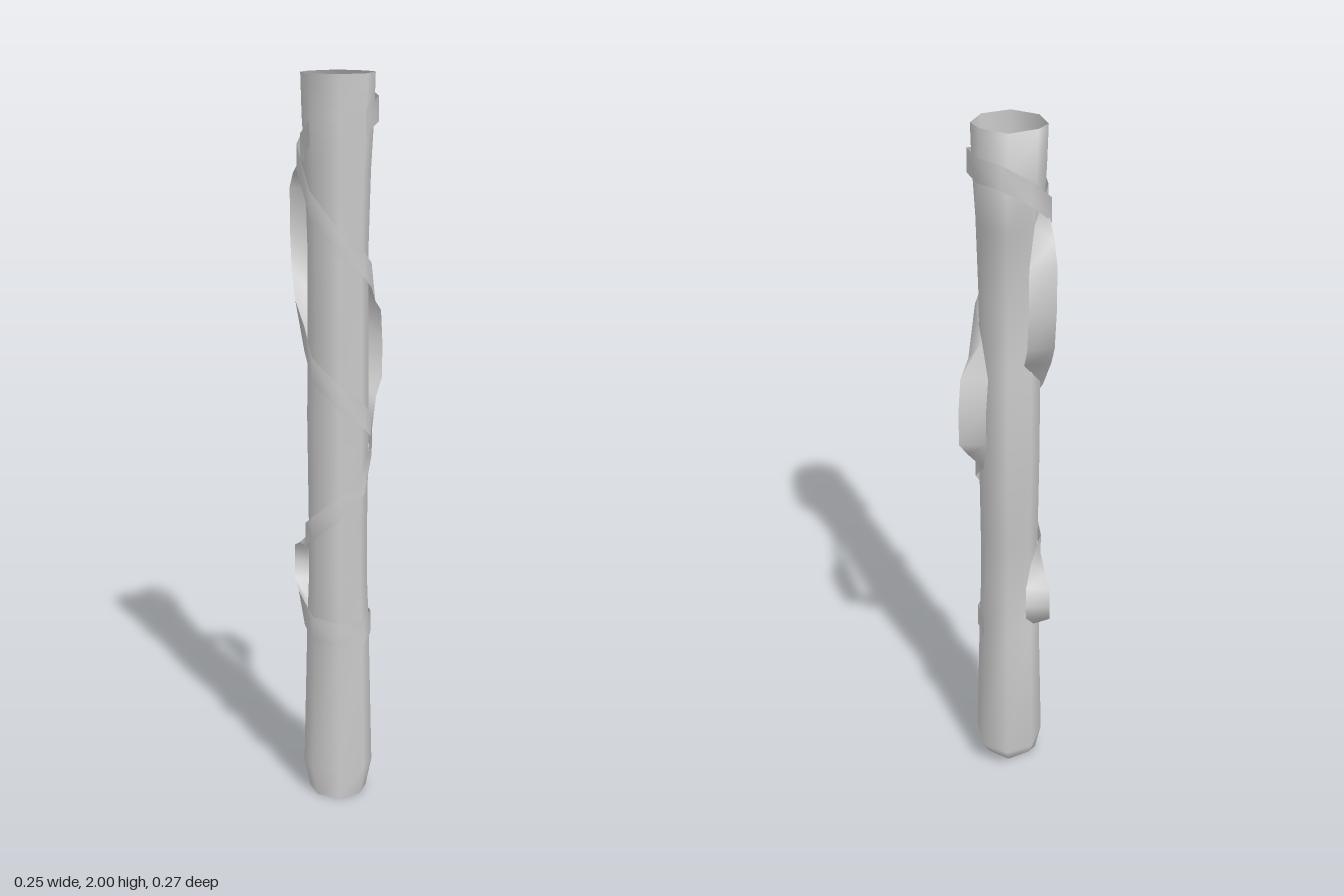
import * as THREE from 'three';

const material = new THREE.MeshStandardMaterial({ color: 0xcccccc, side: THREE.DoubleSide });

// Skin a list of equal-length rows of points into one surface.
function loft(rows, closed, name) {
  const n = rows[0].length;
  const index = [];
  for (let r = 0; r < rows.length - 1; r++) {
    for (let i = 0; i < (closed ? n : n - 1); i++) {
      const a = r * n + i, b = r * n + (i + 1) % n;
      index.push(a, b, b + n, a, b + n, a + n);
    }
  }
  const geometry = new THREE.BufferGeometry();
  geometry.setAttribute('position', new THREE.Float32BufferAttribute(rows.flat(2), 3));
  geometry.setIndex(index);
  geometry.computeVertexNormals();
  const mesh = new THREE.Mesh(geometry, material);
  mesh.name = name;
  return mesh;
}

// Eight-sided ring: fixed front edge, variable half width and back depth.
function ring([y, w, back]) {
  const half = [[w * 0.75, 0.1], [w, 0.04], [w * 0.76, back + 0.035]];
  return [
    [0, y, 0.13],
    ...half.map(([x, z]) => [x, y, z]),
    [0, y, back],
    ...half.reverse().map(([x, z]) => [-x, y, z]),
  ];
}

// Ribbon along a path of [x, y, z, dx, dy]; (dx, dy) points to one edge.
function ribbon(path, name) {
  const rows = path.map(([x, y, z, dx, dy]) => [
    [x + dx, y + dy, z],
    [x - dx, y - dy, z],
  ]);
  return loft(rows, false, name);
}

// Add the same edge direction to a run of points.
const run = (dx, dy, points) => points.map((p) => [...p, dx, dy]);

export function createModel() {
  const group = new THREE.Group();

  // Hollow, open-ended shaft: [height, half width, back z]
  const profile = [
    [0, 0.078, -0.02], [0.08, 0.095, -0.085], [0.5, 0.085, -0.058], [0.63, 0.08, -0.045],
    [0.8, 0.08, -0.06], [1.08, 0.083, -0.08], [1.35, 0.081, -0.062], [1.53, 0.08, -0.045],
    [1.75, 0.086, -0.072], [1.89, 0.094, -0.095], [2, 0.097, -0.03],
  ];
  group.add(loft(profile.map(ring), true, 'shaft'));

  // Long ribbon: wraps the top, loops off the back twice, ends in a low band
  group.add(ribbon([
    ...run(0, 0.033, [
      [0.07, 1.88, 0.108], [0.106, 1.905, 0.03], [0.075, 1.925, -0.08], [0.015, 1.92, -0.113],
      [-0.06, 1.87, -0.09], [-0.108, 1.78, 0.02], [-0.075, 1.67, 0.105], [0, 1.57, 0.136],
      [0.068, 1.51, 0.106], [0.089, 1.47, 0.035],
    ]),
    [0.085, 1.41, -0.045, -0.018, 0.025],
    ...run(-0.036, 0, [[0.085, 1.35, -0.095], [0.09, 1.26, -0.113], [0.09, 1.16, -0.11]]),
    [0.086, 1.09, -0.075, -0.022, -0.022],
    ...run(0, -0.033, [
      [0.092, 1.01, 0.03], [0.07, 0.92, 0.106], [0, 0.85, 0.136],
      [-0.07, 0.79, 0.106], [-0.089, 0.75, 0.035],
    ]),
    [-0.085, 0.72, -0.045, -0.02, -0.02],
    ...run(-0.033, 0, [[-0.085, 0.68, -0.085], [-0.085, 0.63, -0.104], [-0.085, 0.58, -0.088]]),
    [-0.09, 0.54, -0.03, -0.018, 0.022],
    ...run(0, 0.034, [
      [-0.092, 0.52, 0.04], [-0.07, 0.5, 0.106], [0, 0.49, 0.136],
      [0.07, 0.49, 0.106], [0.09, 0.495, 0.04], [0.07, 0.5, -0.028],
    ]),
  ], 'longRibbon'));

  // Short ribbon: loops off the upper back and crosses the front
  group.add(ribbon([
    ...run(0, -0.033, [[-0.075, 1.85, 0.105], [-0.098, 1.81, 0.035]]),
    [-0.092, 1.75, -0.055, -0.025, -0.02],
    ...run(-0.035, 0.005, [
      [-0.091, 1.68, -0.11], [-0.091, 1.56, -0.13], [-0.087, 1.45, -0.11], [-0.078, 1.38, -0.06],
    ]),
    ...run(0, 0.033, [
      [-0.09, 1.3, 0.035], [-0.07, 1.23, 0.106], [0, 1.16, 0.136],
      [0.07, 1.1, 0.106], [0.09, 1.06, 0.035],
    ]),
  ], 'shortRibbon'));

  return group;
}
